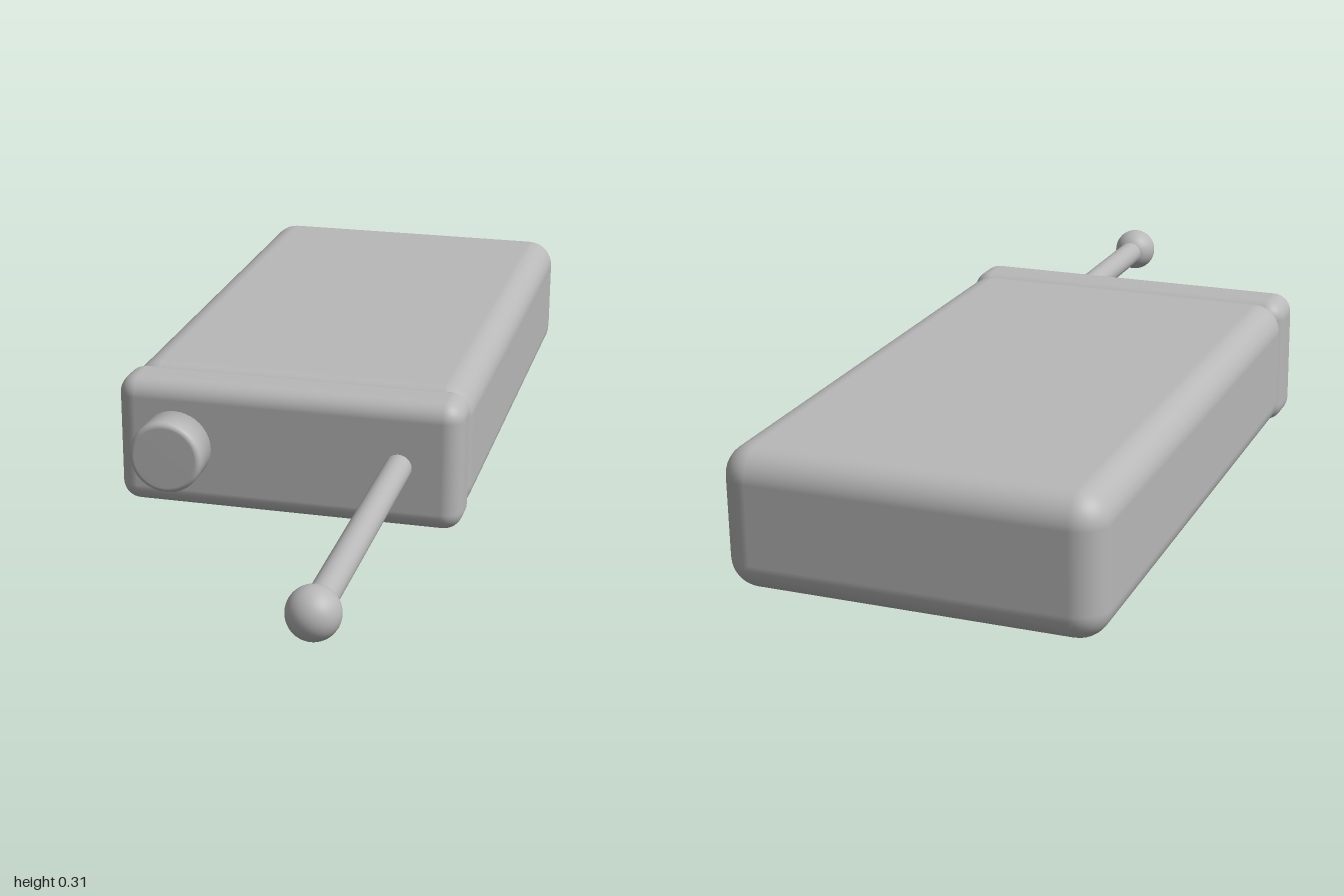
import * as THREE from 'three';
import { RoundedBoxGeometry } from 'three/addons/geometries/RoundedBoxGeometry.js';

export function createModel() {
  const group = new THREE.Group();
  group.name = 'handheldRadio';
  const grey = new THREE.MeshStandardMaterial({ color: 0xb8b8b8 });
  grey.name = 'grey plastic';

  const add = (name, geometry, x, y, z) => {
    const mesh = new THREE.Mesh(geometry, grey);
    mesh.name = name;
    mesh.position.set(x, y, z);
    group.add(mesh);
    return mesh;
  };
  // rounded box given by its min/max y and z, centred on x
  const box = (name, x, width, [y0, y1], [z0, z1], radius, segments = 5) =>
    add(name, new RoundedBoxGeometry(width, y1 - y0, z1 - z0, segments, radius),
      x, (y0 + y1) / 2, (z0 + z1) / 2);

  // case lying face down, with the end cap leaving a shallow groove
  box('body', 0, 0.726, [0.035, 0.311], [-1, 0.2], 0.06);
  box('endCap', 0, 0.726, [0.035, 0.311], [0.157, 0.276], 0.04);

  // volume knob with a softened rim
  const r = 0.077, bevel = 0.012, end = 0.1;
  const profile = [new THREE.Vector2(0, 0), new THREE.Vector2(r, 0)];
  for (let i = 0; i <= 5; i++) {
    const a = (i / 5) * Math.PI / 2;
    profile.push(new THREE.Vector2(
      r - bevel + bevel * Math.cos(a), end - bevel + bevel * Math.sin(a)));
  }
  profile.push(new THREE.Vector2(0, end));
  add('knob', new THREE.LatheGeometry(profile, 40), -0.236, 0.172, 0.25)
    .rotation.x = Math.PI / 2;

  // antenna rod and ball tip
  add('antennaRod', new THREE.CylinderGeometry(0.028, 0.028, 0.72, 24), 0.235, 0.172, 0.59)
    .rotation.x = Math.PI / 2;
  add('antennaTip', new THREE.SphereGeometry(0.05, 32, 20), 0.235, 0.172, 0.95);

  // screen and keypad on the underside
  box('screen', 0, 0.29, [0, 0.034], [-0.85, -0.636], 0.012, 3);
  for (const x of [-0.17, 0, 0.17]) {
    for (const z of [-0.313, -0.441, -0.569]) {
      box('key', x, 0.092, [0.008, 0.029], [z - 0.046, z + 0.046], 0.006, 2);
    }
  }
  return group;
}
